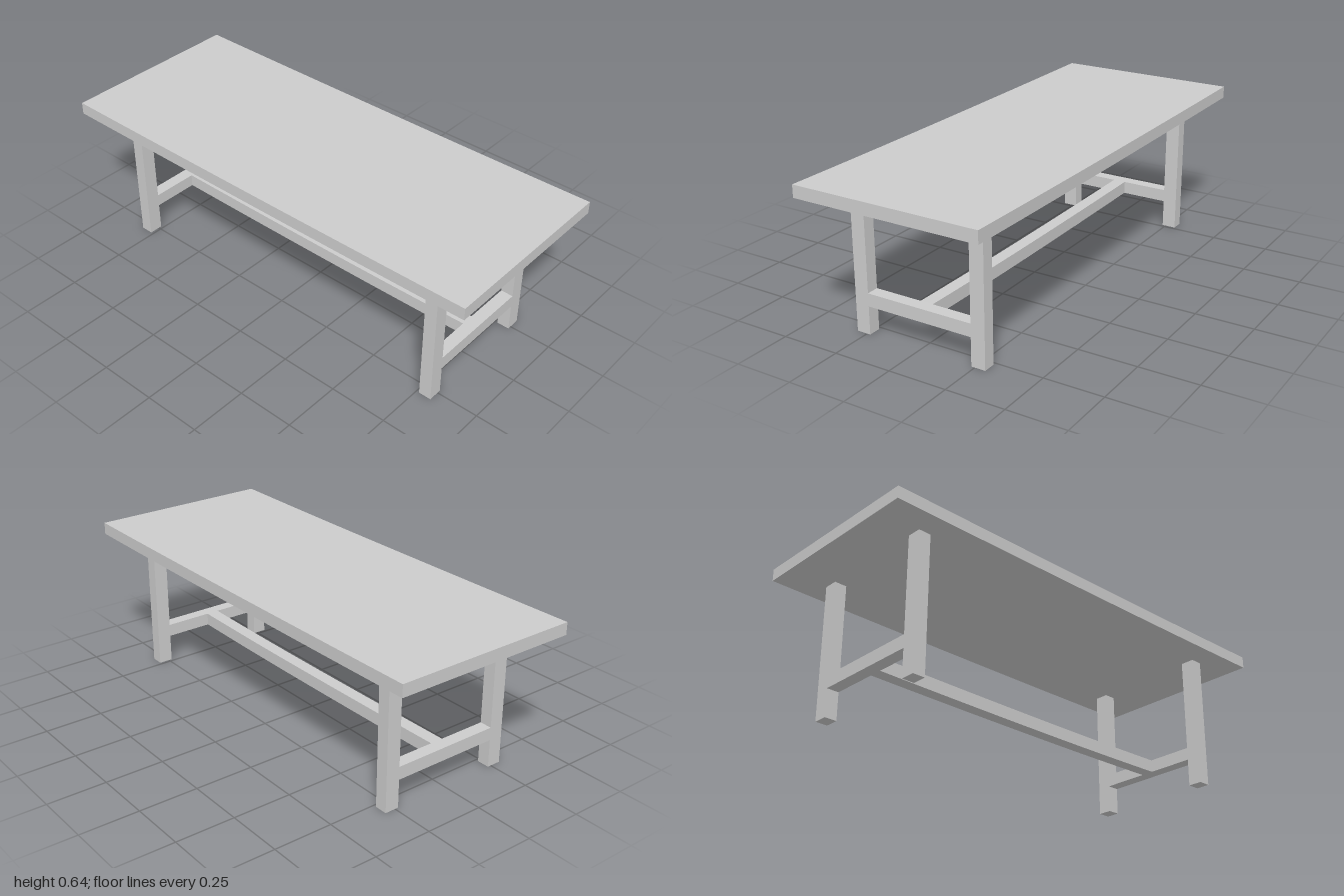
import * as THREE from 'three';

const material = new THREE.MeshStandardMaterial({ color: 0xcccccc, flatShading: true });

// A long board along x that sags slightly, lowest at x = low
function saggingBoard(name, length, height, depth, bottom, sag, low) {
  const geometry = new THREE.BoxGeometry(length, height, depth, 24, 1, 1);
  geometry.translate(0, bottom + height / 2, 0);
  const p = geometry.attributes.position;
  const half = length / 2;
  for (let i = 0; i < p.count; i++) {
    const x = p.getX(i);
    const t = (x - low) / (x < low ? half + low : half - low);
    p.setY(i, p.getY(i) - sag * (1 - t * t));
  }
  geometry.computeVertexNormals();
  const mesh = new THREE.Mesh(geometry, material);
  mesh.name = name;
  return mesh;
}

// Two legs joined by a cross rail, as one H-shaped frame
function legFrame(name, x) {
  const outer = 0.296, inner = 0.235, top = 0.588, railLow = 0.12, railHigh = 0.175, width = 0.054;
  const shape = new THREE.Shape([
    [-outer, 0], [-inner, 0], [-inner, railLow], [inner, railLow], [inner, 0], [outer, 0],
    [outer, top], [inner, top], [inner, railHigh], [-inner, railHigh], [-inner, top], [-outer, top],
  ].map(([z, y]) => new THREE.Vector2(z, y)));
  const geometry = new THREE.ExtrudeGeometry(shape, { depth: width, bevelEnabled: false });
  geometry.translate(0, 0, -width / 2);
  geometry.rotateY(Math.PI / 2);
  const mesh = new THREE.Mesh(geometry, material);
  mesh.name = name;
  mesh.position.x = x;
  return mesh;
}

export function createModel() {
  const table = new THREE.Group();
  table.name = 'trestleTable';
  table.add(
    saggingBoard('tableTop', 2, 0.052, 0.806, 0.588, 0.004, 0.17),
    saggingBoard('stretcher', 1.526, 0.055, 0.056, 0.12, 0.006, 0.13),
    legFrame('leftLegFrame', 0.79),
    legFrame('rightLegFrame', -0.79),
  );
  return table;
}
